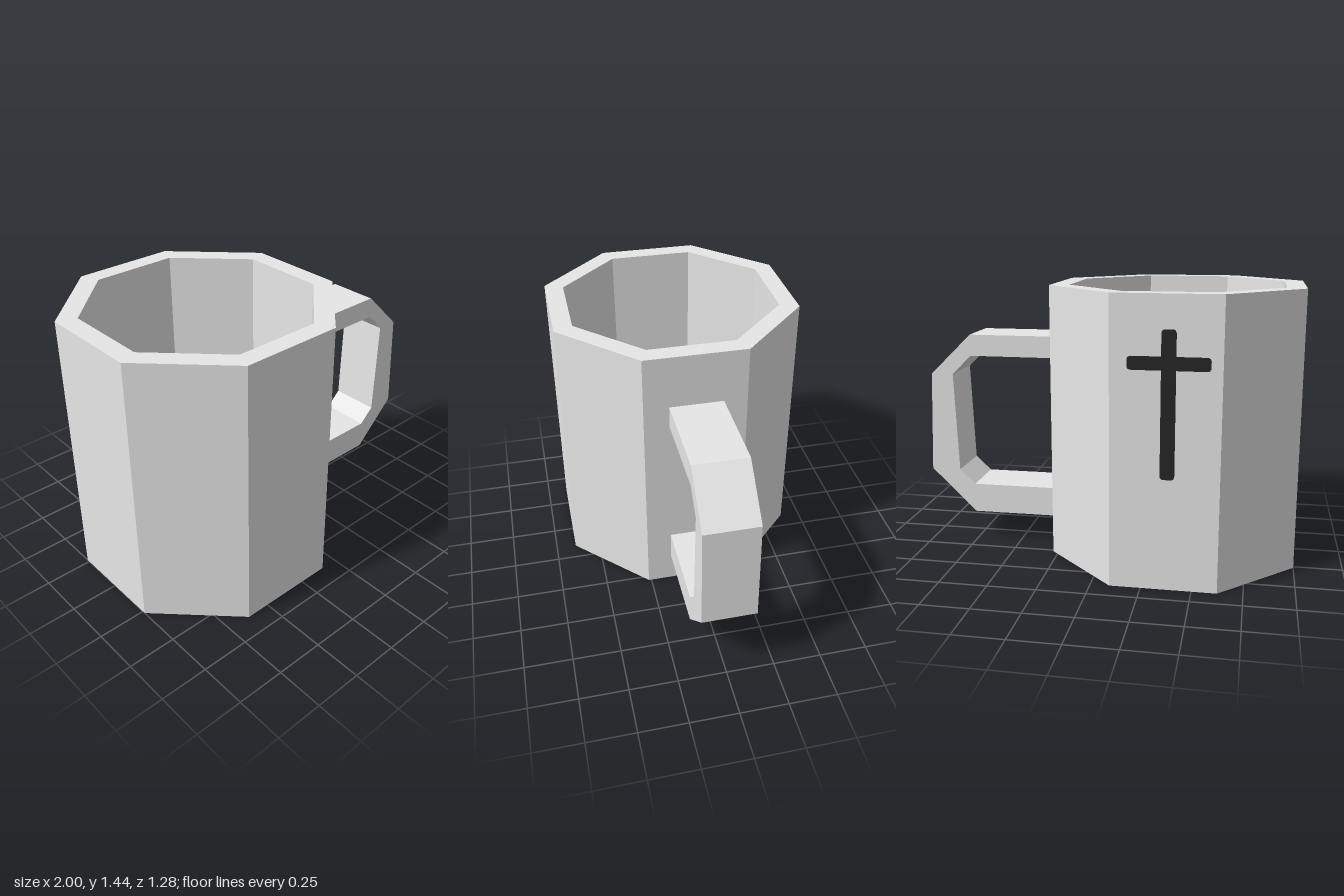
import * as THREE from 'three';

const H = 1.44, CUP_X = -0.36;

// Traces points as a closed shape, rounding the corners by r where allowed
function outline(points, r = 0, rounded = () => false) {
  const s = new THREE.Shape();
  const v = points.map(([x, y]) => new THREE.Vector2(x, y));
  v.forEach((p, i) => {
    const prev = v[(i + v.length - 1) % v.length], next = v[(i + 1) % v.length];
    const k = rounded(i) ? r : 0;
    const a = p.clone().add(prev.clone().sub(p).setLength(k));
    const b = p.clone().add(next.clone().sub(p).setLength(k));
    if (i === 0) s.moveTo(a.x, a.y); else s.lineTo(a.x, a.y);
    if (k) s.quadraticCurveTo(p.x, p.y, b.x, b.y);
  });
  s.closePath();
  return s;
}

export function createModel() {
  const group = new THREE.Group();
  const ceramic = new THREE.MeshStandardMaterial({ name: 'light grey ceramic', color: 0xe7e7e7, flatShading: true });
  const black = new THREE.MeshStandardMaterial({ name: 'near black paint', color: 0x262626, flatShading: true });

  const add = (name, geometry, material, x, y, z) => {
    const mesh = new THREE.Mesh(geometry, material);
    mesh.name = name;
    mesh.position.set(x, y, z);
    group.add(mesh);
  };

  // Hollow octagonal cup: flat sides face the axes
  const toCorner = 1 / Math.cos(Math.PI / 8);
  const R = 0.64 * toCorner, r = 0.543 * toCorner, floor = 0.1;
  const profile = [[0, 0], [R, 0], [R, H], [r, H], [r, floor], [0, floor]]
    .map(([x, y]) => new THREE.Vector2(x, y));
  add('cup', new THREE.LatheGeometry(profile, 8, Math.PI / 8), ceramic, CUP_X, 0, 0);

  // Angular handle: outer edge upwards to downwards, then back along the inside
  const handle = outline([
    [0.275, 1.16], [0.755, 1.16], [0.98, 0.94], [1.0, 0.4], [0.755, 0.16], [0.275, 0.16],
    [0.275, 0.32], [0.755, 0.32], [0.84, 0.4], [0.86, 0.94], [0.755, 1.045], [0.275, 1.045],
  ]);
  add('handle', new THREE.ExtrudeGeometry(handle, { depth: 0.278, bevelEnabled: false }), ceramic, 0, 0, -0.143);

  // Painted cross on the back face, only its outer corners rounded
  const w = 0.035, arm = 0.196, lo = 1.087, hi = 1.152, top = 1.278, bottom = 0.562;
  const cross = outline([
    [-w, bottom], [w, bottom], [w, lo], [arm, lo], [arm, hi], [w, hi],
    [w, top], [-w, top], [-w, hi], [-arm, hi], [-arm, lo], [-w, lo],
  ], 0.02, (i) => ![2, 5, 8, 11].includes(i));
  add('paintedCross', new THREE.ExtrudeGeometry(cross, { depth: 0.006, bevelEnabled: false, curveSegments: 4 }),
    black, -0.374, 0, -0.644);

  return group;
}
